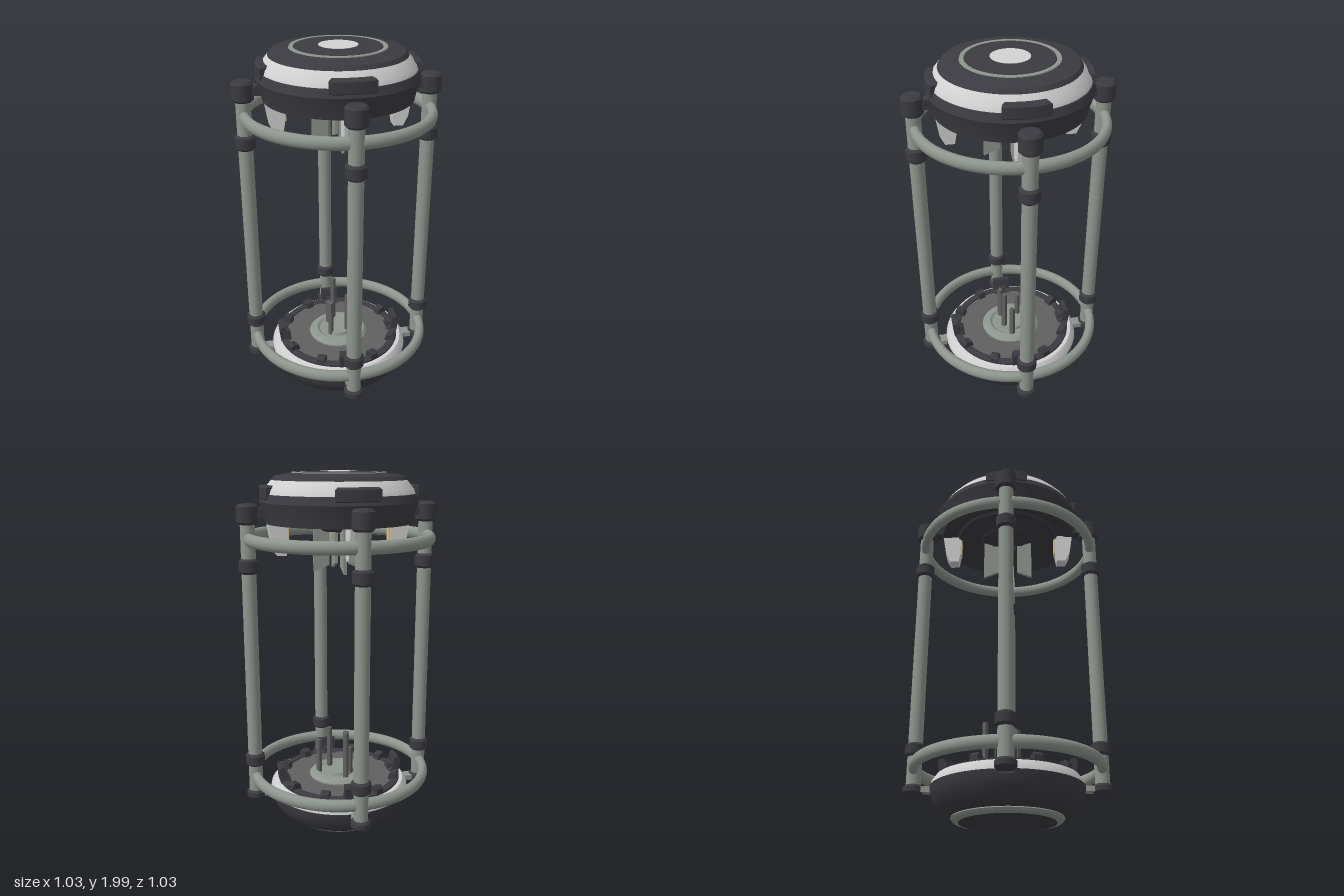
import * as THREE from 'three';
import { toCreasedNormals } from 'three/addons/utils/BufferGeometryUtils.js';

const mat = (name, color) => {
  const m = new THREE.MeshStandardMaterial({ color });
  m.name = name;
  return m;
};

export function createModel() {
  const dark = mat('charcoal', 0x3c3b41);
  const steel = mat('greenGrey', 0x8e958e);
  const light = mat('lightGrey', 0xd2d2d2);
  const floorGrey = mat('midGrey', 0x606060);
  const gold = mat('paleGold', 0xd9c07c);
  const root = new THREE.Group();

  const add = (parent, name, geo, material, x = 0, y = 0, z = 0) => {
    const m = new THREE.Mesh(geo, material);
    m.name = name;
    m.position.set(x, y, z);
    parent.add(m);
    return m;
  };
  // Turned part; points run from the bottom axis outward and up
  const turned = (name, pts, material, parent = root) => add(parent, name,
    toCreasedNormals(new THREE.LatheGeometry(pts.map(p => new THREE.Vector2(...p)), 72), 0.5), material);
  // Upright curved block centred on the +x direction
  const sector = (r0, r1, half, h, bevel = 0) => {
    const s = new THREE.Shape();
    s.absarc(0, 0, r1, -half, half, false);
    s.absarc(0, 0, r0, half, -half, true);
    s.closePath();
    return new THREE.ExtrudeGeometry(s, {
      depth: h - 2 * bevel, curveSegments: 10, bevelEnabled: bevel > 0,
      bevelThickness: bevel, bevelSize: bevel, bevelOffset: -bevel, bevelSegments: 1,
    }).rotateX(-Math.PI / 2).translate(0, bevel, 0);
  };
  // Prism from a radial (r, y) outline, centred on the tangential direction
  const prism = (pts, width) => new THREE.ExtrudeGeometry(
    new THREE.Shape(pts.map(p => new THREE.Vector2(...p))),
    { depth: width, bevelEnabled: false }).translate(0, 0, -width / 2);
  const spoke = (name, angle) => {
    const g = new THREE.Group();
    g.name = name;
    g.rotation.y = angle;
    root.add(g);
    return g;
  };

  // Upper housing, open underneath
  turned('upperHousing', [[0, 1.74], [0.33, 1.74], [0.345, 1.735], [0.39, 1.735], [0.4, 1.785],
    [0.42, 1.845], [0.405, 1.885], [0.38, 1.89], [0, 1.89]], dark);
  turned('upperBand', [[0.37, 1.88], [0.4, 1.885], [0.392, 1.91], [0.355, 1.955], [0.3, 1.957]], light);
  turned('upperLid', [[0, 1.94], [0.35, 1.94], [0.356, 1.953], [0.34, 1.975], [0.25, 1.99],
    [0.247, 1.985], [0.225, 1.985], [0.222, 1.994], [0.1, 1.998], [0, 1.998]], dark);
  turned('lidRing', [[0.224, 1.985], [0.25, 1.985], [0.247, 1.994], [0.226, 1.994], [0.224, 1.985]], steel);
  add(root, 'lidDisc', new THREE.CylinderGeometry(0.1, 0.1, 0.008, 48), light, 0, 1.996, 0);

  // Stepped hub on the underside
  turned('undersidePlate', [[0, 1.725], [0.29, 1.725], [0.3, 1.745], [0, 1.745]], dark);
  turned('undersideHub', [[0, 1.71], [0.045, 1.71], [0.05, 1.69], [0.085, 1.69], [0.1, 1.7],
    [0.15, 1.715], [0.16, 1.73], [0, 1.73]], dark);

  // Lower bowl
  turned('lowerBowl', [[0, 0.01], [0.17, 0.037], [0.175, 0.04], [0.27, 0.052], [0.28, 0.07], [0.31, 0.075],
    [0.35, 0.105], [0.38, 0.145], [0.395, 0.185], [0.4, 0.22], [0.37, 0.225], [0, 0.225]], dark);
  turned('bowlRing', [[0.25, 0.046], [0.28, 0.053], [0.29, 0.066], [0.285, 0.075]], steel);
  turned('lowerBand', [[0.37, 0.215], [0.397, 0.215], [0.393, 0.24], [0.37, 0.272], [0.34, 0.275]], light);
  turned('trayRim', [[0.3, 0.265], [0.35, 0.265], [0.35, 0.285], [0.335, 0.29], [0.31, 0.288], [0.3, 0.265]], dark);
  turned('trayFloor', [[0, 0.26], [0.32, 0.26], [0.32, 0.282], [0, 0.282]], floorGrey);
  turned('trayHub', [[0, 0.28], [0.17, 0.28], [0.17, 0.29], [0.155, 0.305], [0.125, 0.31],
    [0.11, 0.298], [0.085, 0.298], [0.08, 0.315], [0, 0.315]], steel);

  // Small teeth round the tray
  for (let i = 0; i < 12; i++) {
    const g = spoke('trayTooth', (i + 0.5) * Math.PI / 6 + (i % 3 - 1) * -0.06);
    add(g, 'tooth', prism([[0.29, 0.275], [0.35, 0.275], [0.35, 0.31], [0.335, 0.325], [0.3, 0.315]], 0.045), dark);
  }

  // Thin upright blades: x, z, top
  for (const [x, z, top] of [[-0.092, -0.075, 0.575], [-0.073, 0, 0.46], [0, 0.075, 0.515],
    [0.065, 0, 0.555], [0.09, -0.075, 0.5]]) {
    add(root, 'blade', new THREE.BoxGeometry(0.022, top - 0.29, 0.024), floorGrey, x, (top + 0.29) / 2, z);
  }

  // Guard rings
  for (const y of [0.322, 1.656]) {
    add(root, 'guardRing', new THREE.TorusGeometry(0.486, 0.027, 16, 80)
      .rotateX(Math.PI / 2).scale(1, 1.25, 1), steel, 0, y, 0);
  }

  // Parts repeated on the four diagonals
  const collar = (r, h) => {
    const b = 0.012;
    return toCreasedNormals(new THREE.LatheGeometry([[0, -h / 2], [r - b, -h / 2], [r, b - h / 2],
      [r, h / 2 - b], [r - b, h / 2], [0, h / 2]].map(p => new THREE.Vector2(...p)), 28), 0.5);
  };
  for (let i = 0; i < 4; i++) {
    const g = spoke('corner', Math.PI / 4 + i * Math.PI / 2);
    const R = 0.487;
    // Post with its collars and caps
    add(g, 'post', new THREE.CylinderGeometry(0.039, 0.039, 1.56, 28), steel, R, 1.0, 0);
    for (const [name, y, r, h] of [['topCap', 1.785, 0.057, 0.105], ['upperCollar', 1.517, 0.053, 0.08],
      ['lowerCollar', 0.425, 0.053, 0.072], ['bottomCap', 0.215, 0.053, 0.05]]) {
      add(g, name, collar(r, h), dark, R, y, 0);
    }
    add(g, 'bottomArm', new THREE.BoxGeometry(0.13, 0.03, 0.06), steel, 0.415, 0.215, 0);
    add(g, 'topArm', new THREE.BoxGeometry(0.1, 0.05, 0.06), dark, 0.42, 1.79, 0);
    // Clamp over the light band
    add(g, 'bandClamp', sector(0.34, 0.418, 0.28, 0.075, 0.01), dark, 0, 1.855, 0);
    // Hanging bracket with a gold inner face
    add(g, 'hangingBracket', prism([[0.28, 1.74], [0.28, 1.625], [0.29, 1.57], [0.34, 1.57],
      [0.365, 1.62], [0.385, 1.74]], 0.07), light);
    add(g, 'bracketInlay', new THREE.BoxGeometry(0.008, 0.1, 0.045), gold, 0.277, 1.675, 0);
    // Hanging fin with a slanted foot
    add(g, 'hangingFin', prism([[0.055, 1.72], [0.055, 1.51], [0.14, 1.475], [0.14, 1.72]], 0.018), steel);
    // Tall clip on the tray edge
    add(g, 'trayClip', prism([[0.285, 0.28], [0.35, 0.27], [0.36, 0.35], [0.35, 0.368],
      [0.325, 0.368], [0.315, 0.3]], 0.1), dark);
  }
  return root;
}
